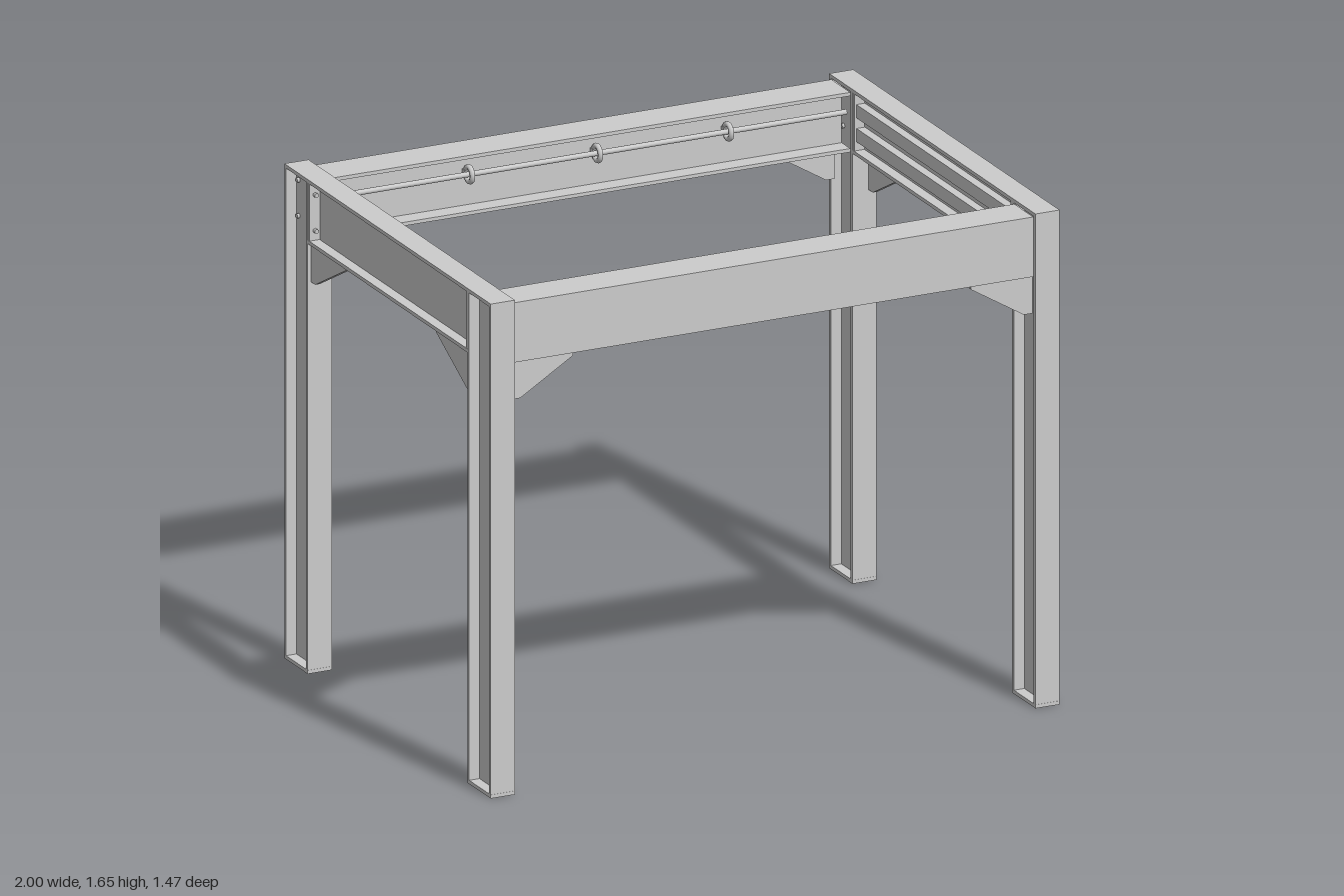
import * as THREE from 'three';

const mat = new THREE.MeshStandardMaterial({ color: 0xcccccc });
const T = 0.012; // sheet thickness

function add(parent, geo, name, x = 0, y = 0, z = 0) {
  const m = new THREE.Mesh(geo, mat);
  m.name = name;
  m.position.set(x, y, z);
  parent.add(m);
  return m;
}

// Box given by its limits on each axis
function slab(parent, name, x0, x1, y0, y1, z0, z1) {
  return add(parent, new THREE.BoxGeometry(x1 - x0, y1 - y0, z1 - z0), name,
    (x0 + x1) / 2, (y0 + y1) / 2, (z0 + z1) / 2);
}

function group(parent, name) {
  const g = new THREE.Group();
  g.name = name;
  parent.add(g);
  return g;
}

// I-shaped outline extruded along z and centred; w is the flange width, h the height
function iBeam(w, h, length) {
  const a = w / 2, b = h / 2, t = T / 2;
  const pts = [[-a, -b], [a, -b], [a, -b + T], [t, -b + T], [t, b - T], [a, b - T],
    [a, b], [-a, b], [-a, b - T], [-t, b - T], [-t, -b + T], [-a, -b + T]];
  const s = new THREE.Shape(pts.map(p => new THREE.Vector2(...p)));
  return new THREE.ExtrudeGeometry(s, { depth: length, bevelEnabled: false }).translate(0, 0, -length / 2);
}

// Triangular corner plate with a blunt lower tip, running from its corner towards +x
function bracePlate(length, height) {
  const s = new THREE.Shape();
  s.moveTo(0, 0);
  s.lineTo(0, -height);
  s.lineTo(0.03, -height);
  s.lineTo(length, -0.012);
  s.lineTo(length, 0);
  s.closePath();
  return new THREE.ExtrudeGeometry(s, { depth: 0.016, bevelEnabled: false }).translate(0, 0, -0.008);
}

function bolt(parent, x, y, z, axis) {
  const m = add(parent, new THREE.CylinderGeometry(0.008, 0.008, 0.03, 6), 'bolt', x, y, z);
  if (axis === 'x') m.rotation.z = Math.PI / 2;
  if (axis === 'z') m.rotation.x = Math.PI / 2;
}

export function createModel() {
  const root = new THREE.Group();
  root.name = 'tableFrame';

  // Four upright I-section legs with foot and cap plates, and their corner braces
  for (const sx of [-1, 1]) for (const sz of [-1, 1]) {
    const leg = group(root, 'leg');
    const post = add(leg, iBeam(0.085, 0.165, 1.635), 'legPost', sx * 0.9575, 0.8275, sz * 0.6525);
    post.rotation.x = Math.PI / 2;
    for (const [name, y] of [['footPlate', 0.006], ['capPlate', 1.649]])
      add(leg, new THREE.BoxGeometry(0.085, T, 0.167), name, sx * 0.9575, y, sz * 0.6525);
    bolt(leg, sx * 0.9575, 0.02, sz * 0.6525, 'y');
    for (const y of [1.485, 1.605]) {
      bolt(leg, sx * 0.9575, y, sz * 0.705, 'x');
      bolt(leg, sx * 0.98, y, sz * 0.56, 'z');
    }
    const longBrace = add(leg, bracePlate(0.215, 0.125), 'longBrace', sx * 0.915, 1.44, sz * 0.705);
    if (sx > 0) longBrace.rotation.y = Math.PI;
    const sideBrace = add(leg, bracePlate(0.25, 0.13), 'sideBrace', sx * 0.98, 1.44, sz * 0.57);
    sideBrace.rotation.y = sz * Math.PI / 2;
  }

  // Side beams with end plates and a pair of inner rails
  for (const sx of [-1, 1]) {
    const side = group(root, 'sideBeam');
    add(side, iBeam(0.085, 0.215, 1.14), 'sideBeamSection', sx * 0.9575, 1.5475, 0);
    for (const sz of [-1, 1])
      add(side, new THREE.BoxGeometry(0.083, 0.19, T), 'endPlate', sx * 0.9575, 1.5475, sz * 0.563);
    for (const y of [1.505, 1.585])
      add(side, new THREE.BoxGeometry(0.03, 0.045, 1.11), 'innerRail', sx * 0.937, y, 0);
  }

  // Back beam, open on both faces
  const back = group(root, 'backBeam');
  add(back, iBeam(0.135, 0.2, 1.83), 'backBeamSection', 0, 1.54, -0.6525).rotation.y = Math.PI / 2;

  // Rod along the inside of the back beam, held by three ring clips
  add(back, new THREE.CylinderGeometry(0.009, 0.009, 1.83, 12), 'rod', 0, 1.565, -0.615)
    .rotation.z = Math.PI / 2;
  for (const x of [-0.41, 0.04, 0.5]) {
    add(back, new THREE.TorusGeometry(0.024, 0.009, 8, 20), 'rodClip', x, 1.565, -0.615)
      .rotation.y = Math.PI / 2;
    slab(back, 'clipStem', x - 0.009, x + 0.009, 1.555, 1.575, -0.65, -0.63);
  }

  // Front beam: channel closed by an inner panel, with an opening near the right end
  const front = group(root, 'frontBeam');
  slab(front, 'frontFace', -0.915, 0.915, 1.44, 1.64, 0.708, 0.72);
  slab(front, 'topFlange', -0.915, 0.915, 1.628, 1.64, 0.585, 0.708);
  slab(front, 'bottomFlange', -0.915, 0.915, 1.44, 1.452, 0.585, 0.708);
  slab(front, 'innerPanel', -0.62, 0.915, 1.452, 1.628, 0.587, 0.599);
  slab(front, 'panelEnd', -0.62, -0.608, 1.452, 1.628, 0.599, 0.708);

  return root;
}
